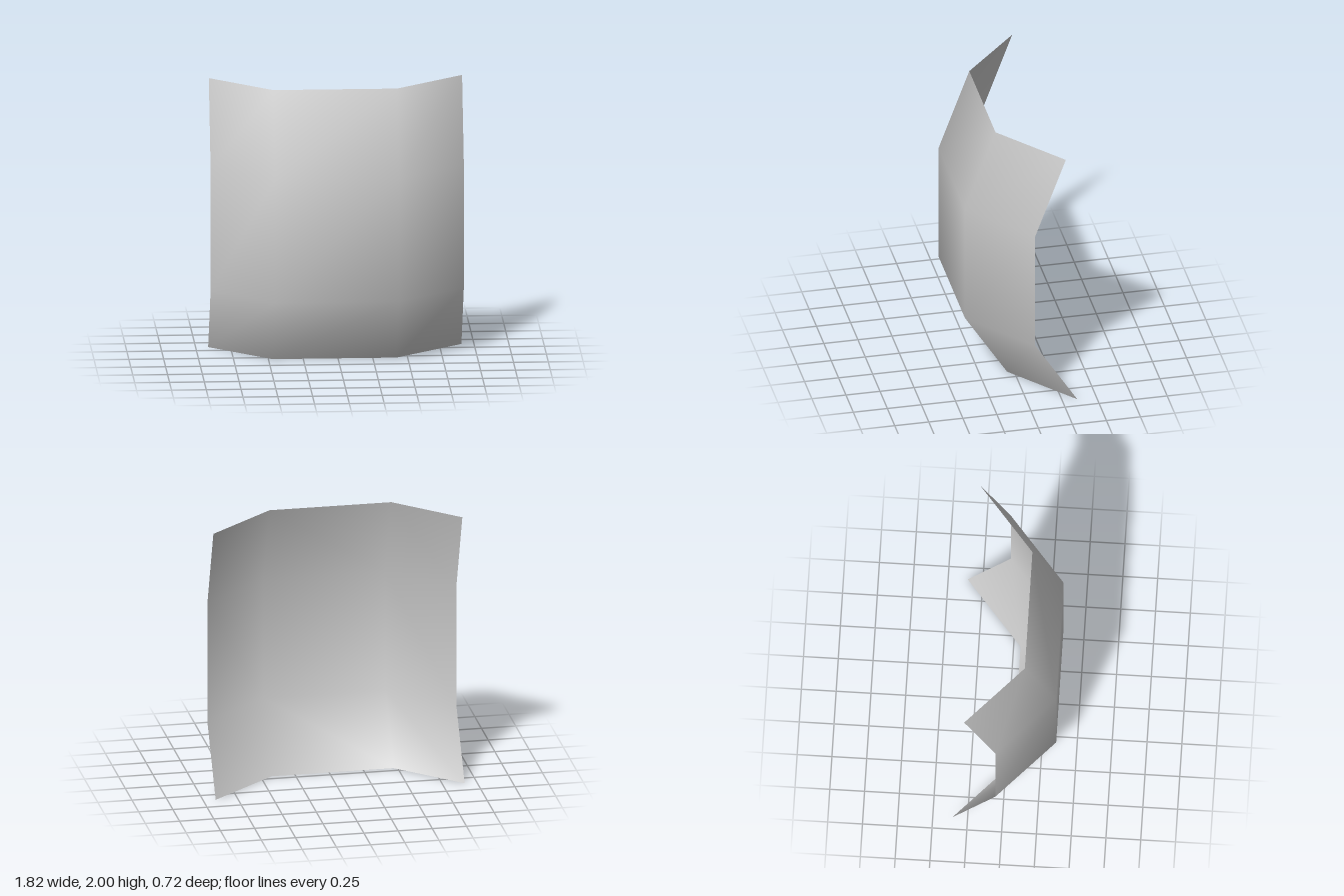
import * as THREE from 'three';

// Column positions across the panel and how far each sits behind the middle
const columns = [[-0.91, -0.41], [-0.47, 0], [0.42, 0], [0.91, -0.41]];
// Row heights from top to bottom and the depth of each row
const rows = [[2, 0.135], [1.39, 0.36], [0.485, 0.36], [0, 0.05]];

export function createModel() {
  const group = new THREE.Group();
  group.name = 'curvedPanel';

  // Thin sheet bent back at both sides, the top and the bottom
  const geometry = new THREE.PlaneGeometry(1, 1, 3, 3);
  const position = geometry.attributes.position;
  rows.forEach(([y, rowZ], r) => {
    columns.forEach(([x, columnZ], c) => {
      position.setXYZ(r * columns.length + c, x, y, rowZ + columnZ);
    });
  });
  geometry.computeVertexNormals();

  const material = new THREE.MeshStandardMaterial({ color: 0xcccccc, side: THREE.DoubleSide });
  const panel = new THREE.Mesh(geometry, material);
  panel.name = 'panel';
  group.add(panel);
  return group;
}
